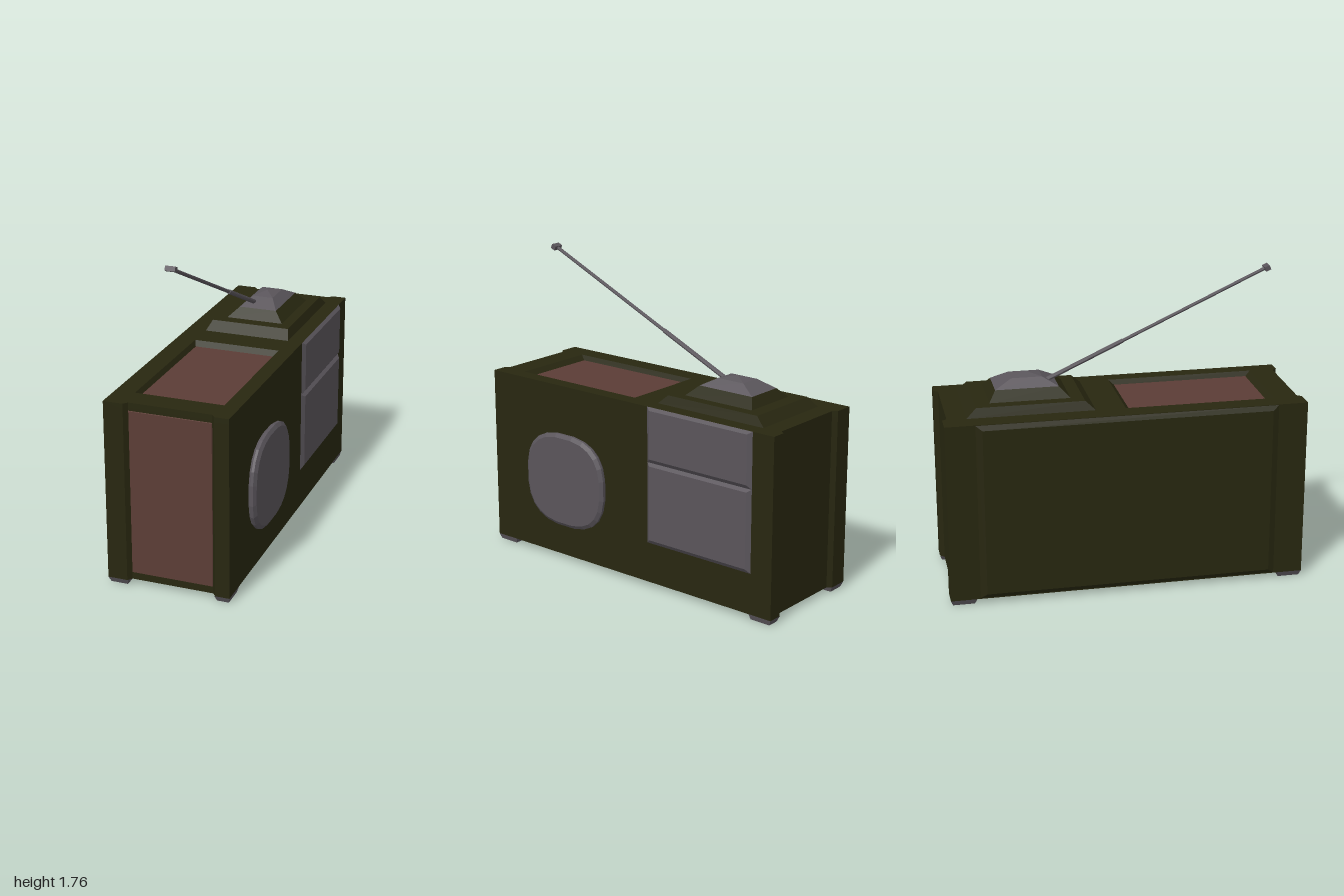
import * as THREE from 'three';

const mat = (name, color) => {
  const m = new THREE.MeshStandardMaterial({ color });
  m.name = name;
  return m;
};

// Turn local (u right, v up, w outward) into model space for each facing
const facing = {
  top: (u, v, w) => [u, w, -v],
  bottom: (u, v, w) => [u, -w, v],
  left: (u, v, w) => [w, v, -u],
  right: (u, v, w) => [-w, v, u],
  front: (u, v, w) => [u, v, w],
};

const rect = (u0, u1, v0, v1, w) => [[u0, v0, w], [u1, v0, w], [u1, v1, w], [u0, v1, w]];

// Rounded-square loop
function squircle(cu, cv, ru, rv, w, n = 24) {
  const f = (t) => Math.sign(t) * Math.abs(t) ** 0.76;
  return Array.from({ length: n }, (_, i) => {
    const a = ((i + 0.5) / n) * Math.PI * 2;
    return [cu + ru * f(Math.cos(a)), cv + rv * f(Math.sin(a)), w];
  });
}

// Flat-faced skin over successive loops, optionally closed at the last one
function loft(dir, loops, cap = true) {
  const pos = [];
  const tri = (...pts) => pts.forEach((p) => pos.push(...facing[dir](...p)));
  for (let k = 0; k + 1 < loops.length; k++) {
    const a = loops[k], b = loops[k + 1], n = a.length;
    for (let i = 0; i < n; i++) {
      const j = (i + 1) % n;
      tri(a[i], a[j], b[j]);
      tri(a[i], b[j], b[i]);
    }
  }
  if (cap) {
    const l = loops[loops.length - 1];
    for (let i = 1; i + 1 < l.length; i++) tri(l[0], l[i], l[i + 1]);
  }
  const g = new THREE.BufferGeometry();
  g.setAttribute('position', new THREE.Float32BufferAttribute(pos, 3));
  g.computeVertexNormals();
  return g;
}

export function createModel() {
  const group = new THREE.Group();
  const olive = mat('dark olive', 0x282710);
  const grey = mat('metal grey', 0x5a555b);
  const red = mat('dull red', 0x5c3d36);
  const add = (name, geometry, material) => {
    const m = new THREE.Mesh(geometry, material);
    m.name = name;
    group.add(m);
    return m;
  };

  // Casing plan: four corner pillars with shallow bays at front and back
  const plan = [[-0.36, 1], [-0.25, 1], [-0.23, 0.975], [0.23, 0.975], [0.25, 1], [0.33, 1]];
  const outline = [...plan, ...plan.map(([x, z]) => [x, -z]).reverse()];
  const vec = (pts) => pts.map(([x, y]) => new THREE.Vector2(x, y));
  function slab(name, y0, y1, hole) {
    const shape = new THREE.Shape(vec(outline));
    if (hole) shape.holes.push(new THREE.Path(vec(hole)));
    const g = new THREE.ExtrudeGeometry(shape, { depth: y1 - y0, bevelEnabled: false });
    g.rotateX(-Math.PI / 2).translate(0, y0, 0);
    add(name, g, olive);
  }
  slab('casing', 0.055, 1.015);
  slab('topFrame', 1.015, 1.045, rect(-0.25, 0.245, -0.84, 0, 0));
  slab('bottomFrame', 0.03, 0.055, rect(-0.25, 0.245, -0.87, 0.87, 0));

  // Sunken red panels with sloping surrounds
  add('topSurround', loft('top', [rect(-0.25, 0.245, -0.84, 0, 1.045), rect(-0.235, 0.23, -0.81, -0.03, 1.018)], false), olive);
  add('topPanel', loft('top', [rect(-0.235, 0.23, -0.81, -0.03, 1.018)]), red);
  add('bottomSurround', loft('bottom', [rect(-0.25, 0.245, -0.87, 0.87, -0.03), rect(-0.225, 0.22, -0.84, 0.84, -0.052)], false), olive);
  add('bottomPanel', loft('bottom', [rect(-0.225, 0.22, -0.84, 0.84, -0.052)]), red);
  add('frontPanel', loft('front', [rect(-0.23, 0.23, 0.07, 1.0, 0.975), rect(-0.228, 0.228, 0.072, 0.998, 0.979)]), red);

  // Raised plain side cover
  add('sideCover', loft('right', [rect(-0.835, 0.835, 0.035, 1.042, 0.36), rect(-0.8, 0.8, 0.06, 1.015, 0.375)]), olive);

  // Bevelled metal doors and rounded dial
  for (const [name, v0, v1] of [['upperDoor', 0.73, 1.045], ['lowerDoor', 0.262, 0.73]]) {
    add(name, loft('left', [
      rect(0.16, 0.865, v0, v1, 0.33),
      rect(0.185, 0.84, v0 + 0.024, v1 - 0.016, 0.347),
    ]), grey);
  }
  add('dial', loft('left', [
    squircle(-0.43, 0.495, 0.284, 0.268, 0.33),
    squircle(-0.43, 0.495, 0.292, 0.276, 0.343),
    squircle(-0.43, 0.495, 0.292, 0.276, 0.357),
    squircle(-0.43, 0.495, 0.272, 0.256, 0.371),
  ]), grey);

  // Stepped antenna mount and faceted cap
  add('mount', loft('top', [
    rect(-0.25, 0.245, 0.165, 0.87, 1.045),
    rect(-0.228, 0.225, 0.22, 0.815, 1.095),
    rect(-0.165, 0.165, 0.29, 0.735, 1.095),
    rect(-0.11, 0.11, 0.345, 0.695, 1.148),
  ]), olive);
  add('mountCap', loft('top', [
    rect(-0.11, 0.11, 0.345, 0.695, 1.148),
    rect(-0.06, 0.06, 0.43, 0.6, 1.194),
    rect(-0.004, 0.004, 0.505, 0.525, 1.211),
  ]), grey);

  // Two-stage antenna leaning forward, with a block tip
  const from = new THREE.Vector3(-0.04, 1.155, -0.43);
  const to = new THREE.Vector3(-0.04, 1.737, 0.835);
  const dir = to.clone().sub(from).normalize();
  const lean = new THREE.Quaternion().setFromUnitVectors(new THREE.Vector3(0, 1, 0), dir);
  function rod(name, t0, t1, r) {
    const a = from.clone().lerp(to, t0), b = from.clone().lerp(to, t1);
    const g = new THREE.CylinderGeometry(r, r, a.distanceTo(b), 8).toNonIndexed();
    g.computeVertexNormals();
    const m = add(name, g, grey);
    m.position.copy(a.add(b).multiplyScalar(0.5));
    m.quaternion.copy(lean);
  }
  rod('antennaBase', 0, 0.36, 0.013);
  rod('antennaRod', 0.36, 1, 0.01);
  const tip = add('antennaTip', new THREE.BoxGeometry(0.056, 0.03, 0.026), grey);
  tip.position.copy(to);
  tip.quaternion.copy(lean);

  // Four tapered feet
  for (const [x0, x1] of [[-0.36, -0.245], [0.245, 0.33]]) {
    for (const z of [-1, 0.855]) {
      add('foot', loft('bottom', [
        rect(x0, x1, z, z + 0.145, -0.03),
        rect(x0 + 0.012, x1 - 0.008, z + 0.012, z + 0.133, 0),
      ]), grey);
    }
  }
  return group;
}
